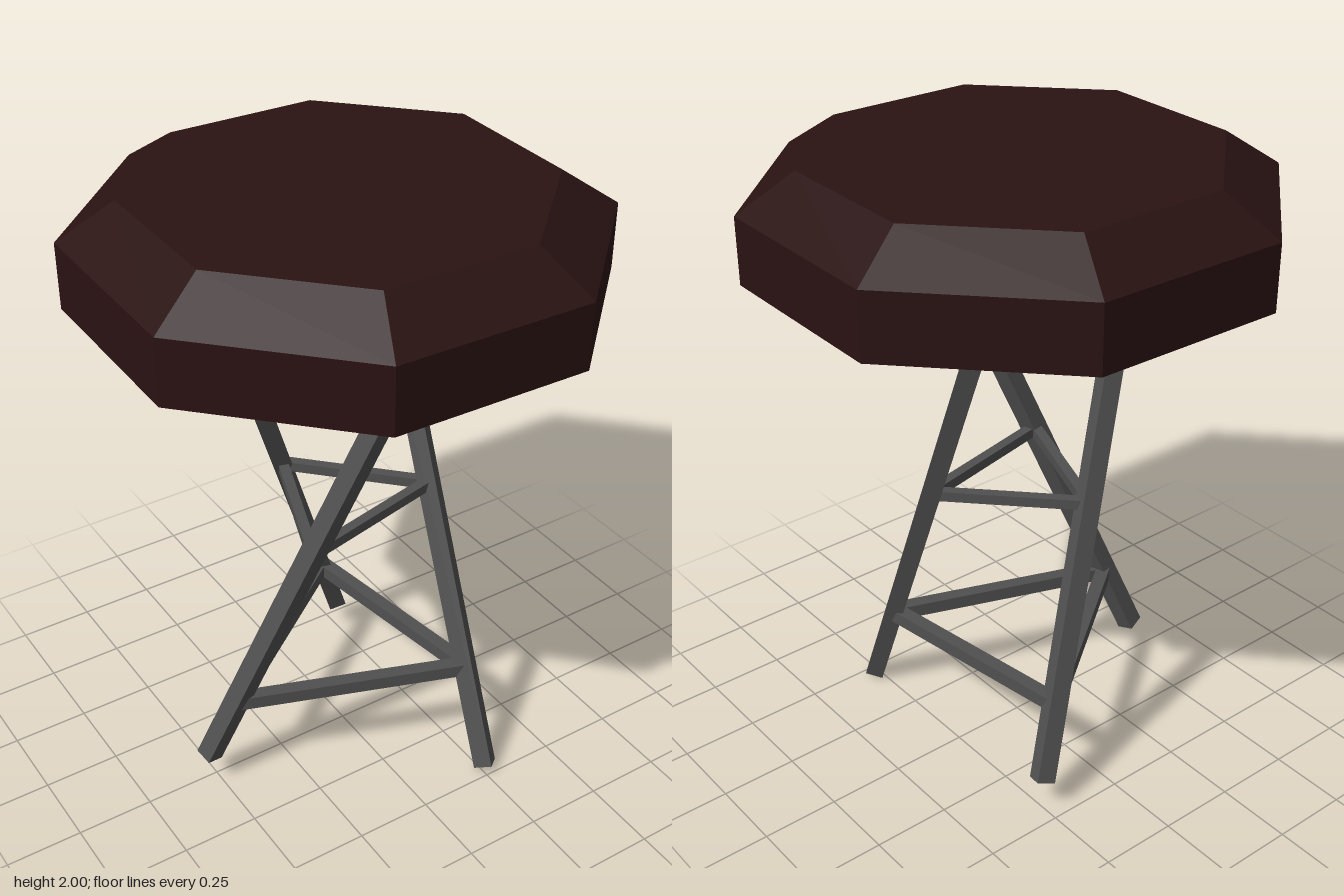
import * as THREE from 'three';

const metal = new THREE.MeshStandardMaterial({ color: 0x505050, flatShading: true });
const leather = new THREE.MeshStandardMaterial({ color: 0x2a1212, flatShading: true });

// Square bar between two points, rolled about its own axis
function bar(name, a, b, size, roll) {
  const mesh = new THREE.Mesh(new THREE.BoxGeometry(size, size, a.distanceTo(b)), metal);
  mesh.name = name;
  mesh.position.copy(a).lerp(b, 0.5);
  mesh.lookAt(b);
  mesh.rotateZ(roll);
  return mesh;
}

export function createModel() {
  const model = new THREE.Group();
  model.name = 'stool';

  // Bevelled octagonal cushion
  const profile = [[0, 1.68], [0.805, 1.68], [0.805, 1.885], [0.63, 2], [0, 2]]
    .map(([r, y]) => new THREE.Vector2(r, y));
  const seat = new THREE.Mesh(
    new THREE.LatheGeometry(profile, 8, THREE.MathUtils.degToRad(21.4)), leather);
  seat.name = 'seat';
  model.add(seat);

  // Three crossing legs: foot and top of each
  const legs = [
    [[-0.53, 0.115, 0.015], [0.06, 1.755, 0.38]],
    [[0.25, 0.115, -0.435], [-0.37, 1.755, -0.105]],
    [[0.265, 0.02, 0.465], [0.287, 1.655, -0.225]],
  ].map((ends) => ends.map((p) => new THREE.Vector3(...p)));
  legs.forEach(([foot, top], i) => {
    model.add(bar('leg' + (i + 1), foot, top, 0.06, Math.PI / 4));
  });

  // Two triangles of rungs joining the legs
  const pointAt = ([foot, top], y) => foot.clone().lerp(top, (y - foot.y) / (top.y - foot.y));
  for (const [name, y, size] of [['lowerRung', 0.347, 0.045], ['upperRung', 0.935, 0.033]]) {
    for (let i = 0; i < 3; i++) {
      const a = pointAt(legs[i], y);
      const b = pointAt(legs[(i + 1) % 3], y);
      model.add(bar(name + (i + 1), a, b, size, 0));
    }
  }
  return model;
}
